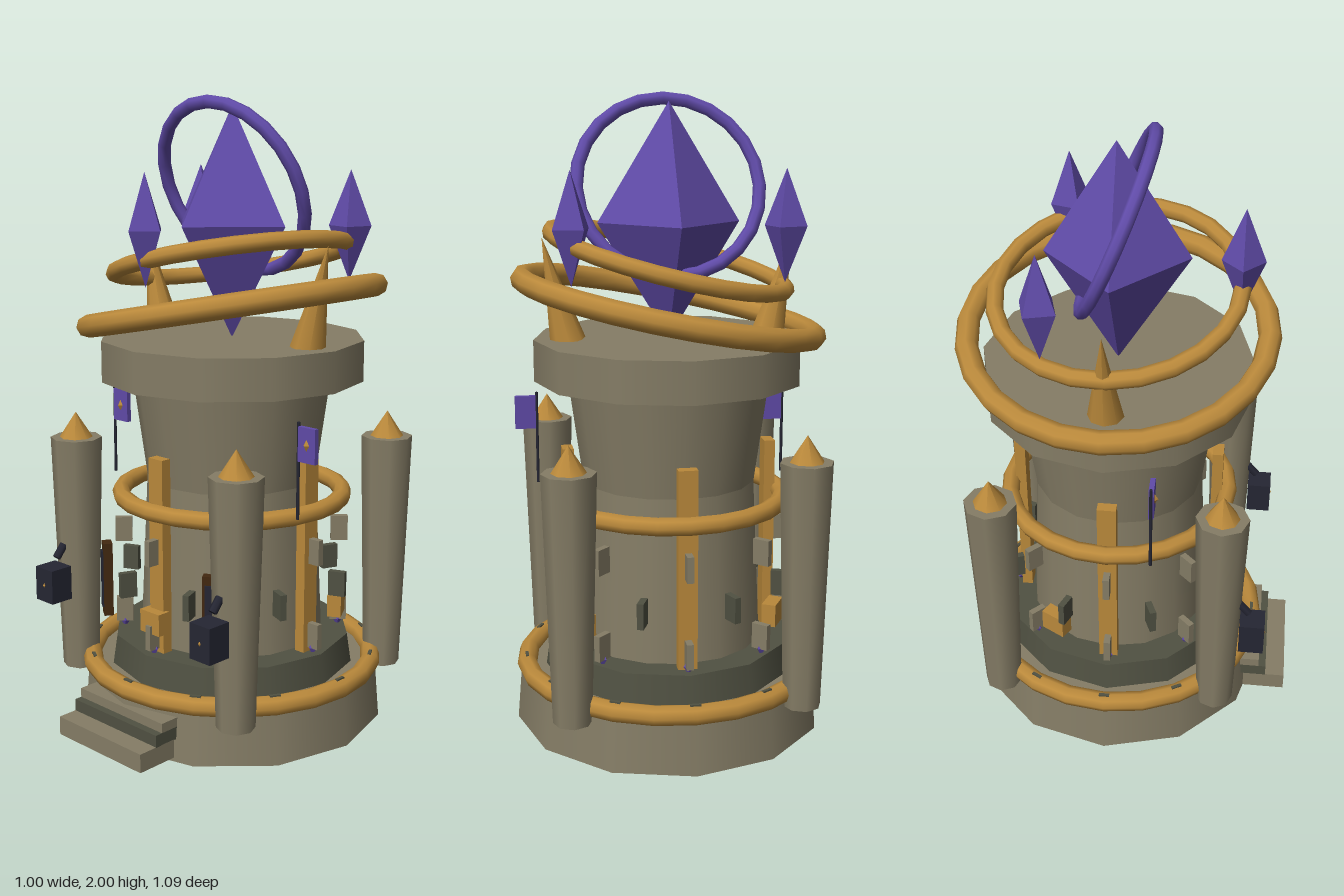
import * as THREE from 'three';

const mat = (name, color) => {
  const m = new THREE.MeshStandardMaterial({ color });
  m.name = name;
  return m;
};

export function createModel() {
  const stone = mat('stone', 0x857d66);
  const darkStone = mat('dark stone', 0x505142);
  const gold = mat('gold', 0xba893b);
  const purple = mat('purple crystal', 0x604ba8);
  const navy = mat('dark iron', 0x252633);
  const brown = mat('dark wood', 0x422810);

  const root = new THREE.Group();
  const tower = new THREE.Group();
  tower.name = 'tower';
  tower.position.z = -0.043;
  root.add(tower);

  const add = (name, geo, m, x = 0, y = 0, z = 0, parent = tower) => {
    const mesh = new THREE.Mesh(geo, m);
    mesh.name = name;
    mesh.position.set(x, y, z);
    parent.add(mesh);
    return mesh;
  };
  const box = (w, h, d) => new THREE.BoxGeometry(w, h, d);
  const drum = (rTop, rBottom, h, sides) => new THREE.CylinderGeometry(rTop, rBottom, h, sides);
  const ring = (name, r, tube, m, y, rx, rz) => {
    const g = new THREE.TorusGeometry(r, tube, 8, 24).rotateX(Math.PI / 2);
    const t = add(name, g, m, 0, y, 0);
    t.rotation.set(rx, 0, rz);
    return t;
  };
  const crystal = (name, r, h, m, x, y, z, parent) =>
    add(name, new THREE.OctahedronGeometry(1).scale(r, h, r), m, x, y, z, parent);
  // Runs build(group) on evenly spaced groups facing outwards around the axis
  const around = (name, n, start, build) => {
    for (let i = 0; i < n; i++) {
      const g = new THREE.Group();
      g.name = name;
      g.rotation.y = start + (i / n) * Math.PI * 2;
      tower.add(g);
      build(g);
    }
  };

  // Base and body
  add('base', drum(0.485, 0.5, 0.18, 12), stone, 0, 0.09, 0);
  add('plinth', drum(0.39, 0.405, 0.1, 12), darkStone, 0, 0.225, 0);
  add('lowerBody', drum(0.275, 0.3, 0.53, 16), stone, 0, 0.535, 0);
  add('upperBody', drum(0.32, 0.275, 0.33, 16), stone, 0, 0.96, 0);
  add('topPlatform', drum(0.425, 0.425, 0.13, 12), stone, 0, 1.185, 0);
  ring('baseRing', 0.467, 0.032, gold, 0.184, 0, 0);
  ring('bodyRing', 0.362, 0.029, gold, 0.739, 0, 0);

  // Engraved dashes on the base ring
  around('ringMark', 12, 0, g =>
    add('mark', box(0.034, 0.006, 0.01), darkStone, 0, 0.2155, 0.467, g));

  // Gold ribs
  around('rib', 4, 0, g => add('ribBar', box(0.06, 0.63, 0.035), gold, 0, 0.59, 0.325, g));

  // Stone fins in three staggered rows
  const fin = box(0.021, 0.082, 0.055);
  around('lowerFin', 8, 0, g => add('fin', fin, stone, 0, 0.33, 0.355, g));
  around('middleFin', 8, Math.PI / 8, g => add('fin', fin, darkStone, 0, 0.463, 0.365, g));
  around('upperFin', 8, 0, g => add('fin', fin, stone, 0, 0.608, 0.355, g));

  // Gold blocks and small crystals near the plinth
  around('goldBlock', 3, 0, g => add('block', box(0.085, 0.072, 0.045), gold, 0, 0.38, 0.352, g));
  around('smallCrystal', 8, 0, g => crystal('shard', 0.016, 0.028, purple, 0, 0.29, 0.355, g));

  // Corner pillars with finials
  around('pillar', 4, Math.PI / 4, g => {
    add('pillarShaft', drum(0.083, 0.06, 0.78, 8), stone, 0, 0.53, 0.505, g);
    add('pillarFinial', new THREE.ConeGeometry(0.055, 0.085, 8), gold, 0, 0.96, 0.505, g);
  });

  for (const s of [-1, 1]) {
    const side = s > 0 ? 'left' : 'right';

    // Lantern on the front pillars
    const lantern = new THREE.Group();
    lantern.name = side + 'Lantern';
    lantern.position.set(s * 0.355, 0.45, 0.468);
    tower.add(lantern);
    add('lanternBox', box(0.082, 0.112, 0.08), navy, 0, 0, 0, lantern);
    crystal('lanternGem', 0.011, 0.018, gold, 0, 0, 0.034, lantern);
    const hook = add('lanternHook', drum(0.014, 0.014, 0.05, 6), navy, 0, 0.1, -0.03, lantern);
    hook.rotation.x = -0.7;

    // Tall framed slit between pillar and rib
    const slit = new THREE.Group();
    slit.name = side + 'Slit';
    slit.position.set(s * 0.235, 0.463, 0.34);
    slit.rotation.y = s * 0.6;
    tower.add(slit);
    add('slitFrame', box(0.046, 0.245, 0.03), brown, 0, 0, 0, slit);
    add('slitPane', box(0.03, 0.19, 0.006), navy, 0, 0, 0.017, slit);

    // Banner on a thin pole
    const banner = new THREE.Group();
    banner.name = side + 'Banner';
    banner.position.set(s * 0.408, 0, 0.143);
    tower.add(banner);
    add('pole', drum(0.005, 0.005, 0.3, 6), navy, 0, 0.905, 0, banner);
    add('flag', box(0.066, 0.107, 0.016), purple, 0.037, 0.99, 0, banner);
    crystal('flagEmblem', 0.012, 0.02, gold, 0.037, 0.99, 0.007, banner);

    // Leaning horn on the platform
    const horn = add(side + 'Horn', new THREE.ConeGeometry(0.056, 0.33, 8), gold, s * 0.355, 1.405, 0);
    horn.rotation.z = -s * 0.23;
  }

  // Floating tilted rings
  ring('lowerHaloRing', 0.465, 0.036, gold, 1.347, 0, 0.2);
  ring('upperHaloRing', 0.375, 0.027, gold, 1.493, -0.07, 0.235);
  ring('crystalRing', 0.285, 0.021, purple, 1.715, Math.PI / 2 + 0.39, 0);

  // Main crystal and its three satellites
  crystal('mainCrystal', 0.222, 0.363, purple, 0, 1.607, 0);
  around('satelliteCrystal', 3, 0, g => crystal('crystal', 0.066, 0.17, purple, 0, 1.607, 0.373, g));

  // Entrance steps
  add('lowerStep', box(0.376, 0.06, 0.14), stone, 0, 0.045, 0.48, root);
  add('middleStep', box(0.376, 0.04, 0.12), darkStone, 0, 0.093, 0.425, root);
  add('upperStep', box(0.376, 0.03, 0.1), stone, 0, 0.128, 0.41, root);

  return root;
}
